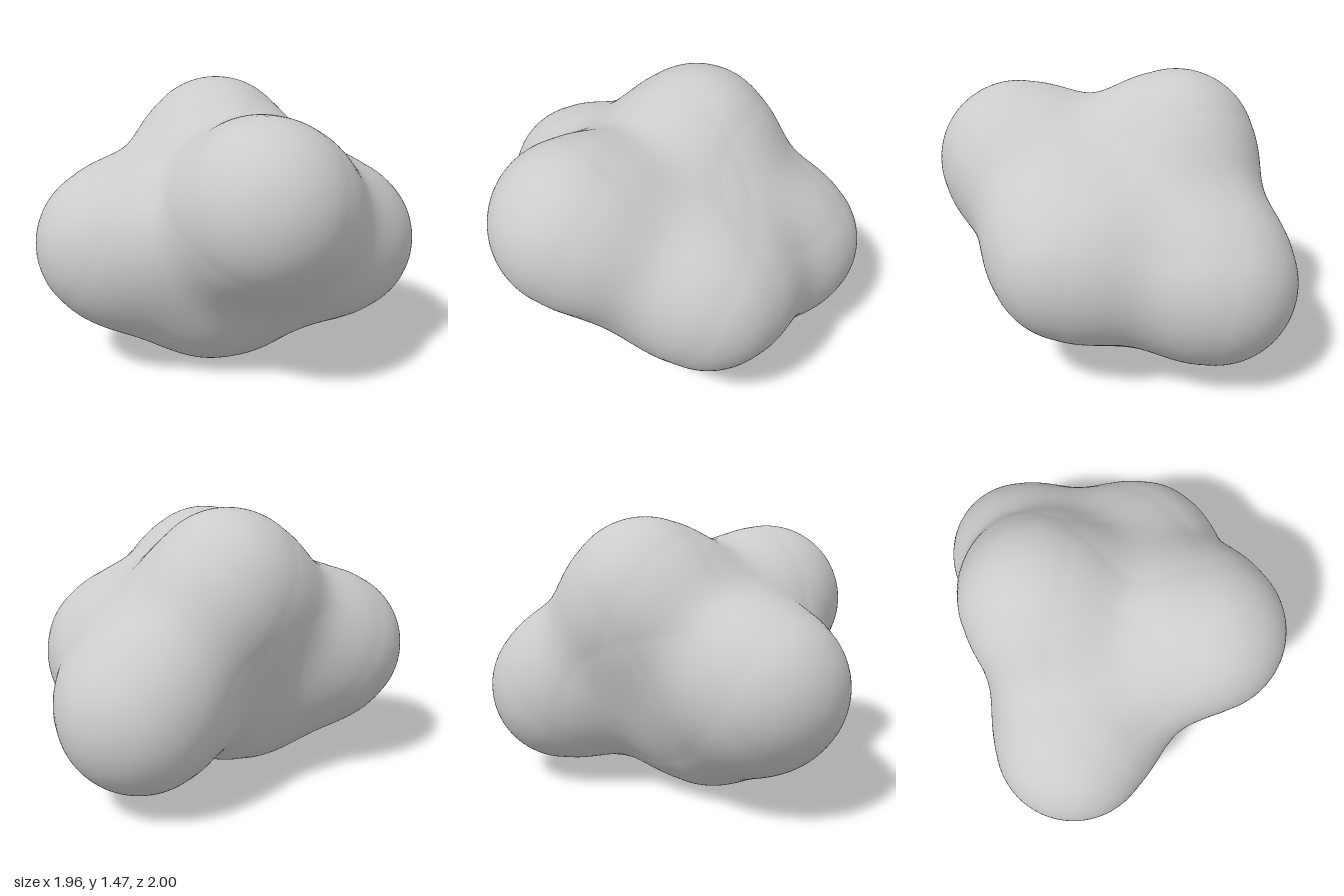
import * as THREE from 'three';
import { mergeVertices } from 'three/addons/utils/BufferGeometryUtils.js';

// The six balls that melt into one another: x, y, z, radius
const balls = [
  [0.2, 0.965, 0.578, 0.422],  // front
  [-0.09, 1.05, -0.21, 0.42],  // top
  [0.27, 0.52, -0.587, 0.413], // back
  [-0.575, 0.67, 0.27, 0.41],  // right-hand side
  [0.568, 0.645, 0.04, 0.412], // left-hand side
  [-0.06, 0.41, 0.135, 0.41],  // bottom
].map(([x, y, z, radius]) => ({ centre: new THREE.Vector3(x, y, z), radius }));

const LEVEL = 80, FALLOFF = 26;

// Summed pull of all balls; the skin lies where it equals LEVEL
function field(p) {
  let sum = 0;
  for (const { centre, radius } of balls) {
    const pull = (LEVEL + FALLOFF) * radius ** 2 / (p.distanceToSquared(centre) + 1e-6);
    sum += Math.max(0, pull - FALLOFF);
  }
  return sum;
}

// Distance from the core to the skin along a direction: walk inward, then bisect
function skinDistance(core, dir) {
  const p = new THREE.Vector3();
  const inside = (t) => field(p.copy(core).addScaledVector(dir, t)) > LEVEL;
  let t = 1.5;
  while (t > 0.05 && !inside(t)) t -= 0.02;
  let lo = t, hi = t + 0.02;
  for (let i = 0; i < 14; i++) {
    const mid = (lo + hi) / 2;
    if (inside(mid)) lo = mid; else hi = mid;
  }
  return lo;
}

export function createModel() {
  const group = new THREE.Group();
  group.name = 'meltedBalls';

  // A fine sphere whose vertices are pushed out to the blended skin
  let geometry = new THREE.IcosahedronGeometry(1, 40);
  geometry.deleteAttribute('uv');
  geometry.deleteAttribute('normal');
  geometry = mergeVertices(geometry, 1e-4);
  const core = new THREE.Vector3(0.04, 0.72, 0.04);
  const pos = geometry.attributes.position;
  const dir = new THREE.Vector3();
  for (let i = 0; i < pos.count; i++) {
    dir.fromBufferAttribute(pos, i).normalize();
    const t = skinDistance(core, dir);
    pos.setXYZ(i, core.x + dir.x * t, core.y + dir.y * t, core.z + dir.z * t);
  }
  geometry.computeVertexNormals();

  const blob = new THREE.Mesh(geometry, new THREE.MeshStandardMaterial({ color: 0xcccccc }));
  blob.name = 'blob';
  group.add(blob);
  return group;
}
